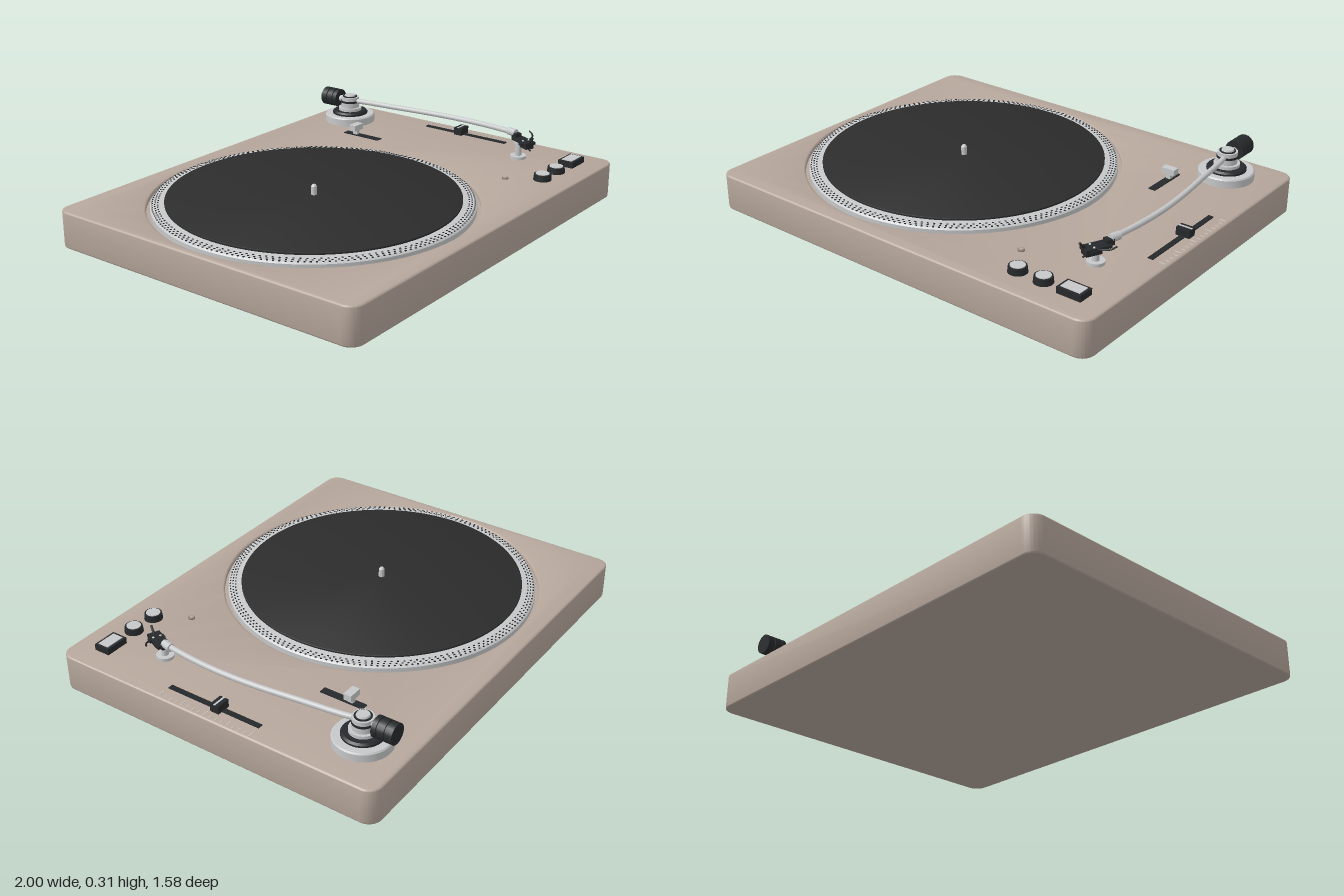
import * as THREE from 'three';
import { mergeGeometries, toCreasedNormals } from 'three/addons/utils/BufferGeometryUtils.js';

const mat = (name, color) => Object.assign(new THREE.MeshStandardMaterial({ color }), { name });

export function createModel() {
  const root = new THREE.Group();
  root.name = 'turntable';
  const body = mat('warm taupe', 0xb5a69b);
  const silver = mat('silver', 0xc6c7c8);
  const rubber = mat('rubber', 0x2c2c2c);
  const black = mat('black', 0x26292b);
  const brown = mat('lamp brown', 0x8f8076);
  const pale = mat('scale marks', 0xcfc6be);
  const TOP = 0.166;

  const add = (name, geo, material, x = 0, y = 0, z = 0, parent = root) => {
    const m = new THREE.Mesh(geo, material);
    m.name = name;
    m.position.set(x, y, z);
    parent.add(m);
    return m;
  };
  const box = (name, material, w, h, d, x, y, z, parent) =>
    add(name, new THREE.BoxGeometry(w, h, d), material, x, y, z, parent);
  // Upright disc given by its bottom and top heights
  const disc = (name, material, r, y0, y1, x, z, rTop = r, seg = 40) =>
    add(name, new THREE.CylinderGeometry(rTop, r, y1 - y0, seg), material, x, (y0 + y1) / 2, z);
  const lathe = (name, material, pts, x, z, seg = 48) =>
    add(name, toCreasedNormals(new THREE.LatheGeometry(pts.map(p => new THREE.Vector2(...p)), seg), 0.5),
      material, x, 0, z);
  // Rod between two points
  const rod = (name, material, r, a, b, parent) => {
    const p = new THREE.Vector3(...a), q = new THREE.Vector3(...b), d = q.clone().sub(p);
    const m = add(name, new THREE.CylinderGeometry(r, r, d.length(), 20), material, 0, 0, 0, parent);
    m.position.copy(p).add(q).multiplyScalar(0.5);
    m.quaternion.setFromUnitVectors(new THREE.Vector3(0, 1, 0), d.normalize());
    return m;
  };

  // Plinth: rounded slab with a round well for the platter
  const W = 1, D = 0.79, R = 0.06, B = 0.008, CX = -0.25;
  const s = new THREE.Shape();
  s.moveTo(-W + R, -D);
  s.lineTo(W - R, -D); s.absarc(W - R, -D + R, R, -Math.PI / 2, 0);
  s.lineTo(W, D - R); s.absarc(W - R, D - R, R, 0, Math.PI / 2);
  s.lineTo(-W + R, D); s.absarc(-W + R, D - R, R, Math.PI / 2, Math.PI);
  s.lineTo(-W, -D + R); s.absarc(-W + R, -D + R, R, Math.PI, Math.PI * 1.5);
  const well = new THREE.Path();
  well.absarc(CX, 0, 0.714, 0, Math.PI * 2, true);
  s.holes.push(well);
  const slab = new THREE.ExtrudeGeometry(s, {
    depth: TOP - 2 * B, bevelThickness: B, bevelSize: B, bevelOffset: -B, bevelSegments: 3, curveSegments: 40
  });
  slab.rotateX(-Math.PI / 2).translate(0, B, 0);
  add('plinth', toCreasedNormals(slab, 0.6), body);
  disc('wellFloor', body, 0.735, 0, 0.148, CX, 0, 0.735, 96);

  // Platter, strobe dots, mat and spindle
  lathe('platter', silver, [[0.698, 0.148], [0.698, 0.17], [0.69, 0.177], [0.645, 0.183], [0, 0.183]], CX, 0, 120);
  const dots = [];
  [[0.688, 180], [0.676, 168], [0.664, 156]].forEach(([r, n]) => {
    for (let i = 0; i < n; i++) {
      dots.push(new THREE.BoxGeometry(0.006, 0.003, 0.008)
        .translate(r, 0.183 - (r - 0.645) * 0.133, 0).rotateY(i / n * Math.PI * 2));
    }
  });
  add('strobeDots', mergeGeometries(dots), black, CX, 0, 0);
  lathe('mat', rubber, [[0.637, 0.18], [0.637, 0.19], [0.633, 0.192], [0, 0.192]], CX, 0, 120);
  lathe('spindle', silver, [[0.013, 0.185], [0.013, 0.23], [0.008, 0.237], [0, 0.237]], CX, 0, 20);

  // Tonearm base and pivot
  const PX = 0.768, PZ = -0.587, AY = 0.27;
  lathe('armBase', silver, [[0.124, TOP], [0.124, 0.2], [0.119, 0.206], [0, 0.206]], PX, PZ);
  lathe('armCollar', black, [[0.088, 0.204], [0.088, 0.214], [0.08, 0.222], [0, 0.222]], PX, PZ);
  disc('pivotFoot', silver, 0.058, 0.22, 0.236, PX, PZ);
  disc('pivotNeck', silver, 0.045, 0.236, 0.262, PX, PZ);
  disc('pivotBand', black, 0.047, 0.262, 0.272, PX, PZ);
  disc('pivotHead', silver, 0.045, 0.272, 0.29, PX, PZ);
  disc('pivotCapRing', black, 0.036, 0.29, 0.294, PX, PZ);
  disc('pivotCap', silver, 0.03, 0.29, 0.301, PX, PZ, 0.026);

  // Counterweight: ribbed drum on a short shaft
  rod('counterweightShaft', silver, 0.015, [PX, AY, PZ], [PX, AY, -0.66]);
  rod('counterweightCore', black, 0.039, [PX, AY, -0.65], [PX, AY, -0.735]);
  [[-0.648, -0.668], [-0.674, -0.704], [-0.71, -0.74]].forEach(([a, b]) =>
    rod('counterweightRing', black, 0.045, [PX, AY, a], [PX, AY, b]));

  // Curved arm tube
  const path = new THREE.CatmullRomCurve3([
    [PX, -0.57], [0.782, -0.5], [0.803, -0.32], [0.826, -0.12], [0.834, 0.05], [0.828, 0.2], [0.812, 0.34]
  ].map(([x, z]) => new THREE.Vector3(x, AY, z)));
  add('armTube', new THREE.TubeGeometry(path, 60, 0.0125, 16), silver);
  rod('armSocket', silver, 0.018, [0.817, AY, 0.325], [0.806, AY, 0.37]);

  // Headshell, cartridge and finger lift
  const head = new THREE.Group();
  head.name = 'headshell';
  head.position.set(0.785, 0.25, 0.415);
  head.rotation.y = -0.43;
  root.add(head);
  box('shellPlate', black, 0.056, 0.012, 0.115, 0, 0, 0.012, head);
  box('shellNeck', black, 0.034, 0.026, 0.035, 0, 0.01, -0.045, head);
  box('cartridge', black, 0.042, 0.02, 0.07, 0, -0.016, 0.03, head);
  box('cartridgeClip', black, 0.07, 0.012, 0.024, 0, -0.006, 0.035, head);
  rod('stylus', black, 0.004, [0, -0.022, 0.04], [0, -0.032, 0.07], head);
  [-1, 1].forEach(k => rod('shellScrew', silver, 0.005, [k * 0.016, 0, 0.03], [k * 0.016, 0.009, 0.03], head));
  const lift = new THREE.CatmullRomCurve3([[0.02, 0, 0.02], [0.05, 0.008, 0.01], [0.068, 0.014, -0.015], [0.07, 0.022, -0.04]]
    .map(p => new THREE.Vector3(...p)));
  add('fingerLift', new THREE.TubeGeometry(lift, 16, 0.004, 8), black, 0, 0, 0, head);
  rod('frontTab', black, 0.005, [0, 0.004, 0.06], [0, 0.032, 0.085], head);

  // Arm rest
  disc('restFoot', silver, 0.038, TOP, 0.18, 0.768, 0.408);
  disc('restPost', silver, 0.015, 0.18, 0.244, 0.768, 0.408);
  box('restCradle', silver, 0.045, 0.01, 0.03, 0.775, 0.238, 0.405);

  // Cue lever in its slot
  box('cueSlot', black, 0.034, 0.006, 0.205, 0.587, TOP + 0.001, -0.37);
  box('cueStem', silver, 0.02, 0.03, 0.024, 0.587, 0.18, -0.41);
  box('cueLever', silver, 0.064, 0.028, 0.036, 0.587, 0.206, -0.41);

  // Pitch fader with its scale
  box('pitchSlot', black, 0.024, 0.006, 0.46, 0.917, TOP + 0.001, 0.02);
  box('pitchKnob', black, 0.064, 0.036, 0.042, 0.917, 0.184, -0.006);
  box('pitchKnobLine', silver, 0.064, 0.003, 0.008, 0.917, 0.203, -0.006);
  for (let i = 0; i <= 16; i++) {
    const w = i % 4 ? 0.018 : 0.032;
    box('pitchMark', pale, w, 0.003, 0.004, 0.988 - w / 2, TOP + 0.0005, -0.21 + i * 0.02875);
  }

  // Round buttons, rectangular start button and lamp
  [0.574, 0.698].forEach(x => {
    disc('buttonBody', black, 0.041, TOP, 0.194, x, 0.648, 0.038);
    disc('buttonCap', silver, 0.031, 0.19, 0.197, x, 0.648);
  });
  box('startButtonBody', black, 0.112, 0.028, 0.074, 0.84, 0.18, 0.648);
  box('startButtonCap', silver, 0.09, 0.006, 0.052, 0.84, 0.194, 0.648);
  disc('lampRim', brown, 0.015, TOP, 0.172, 0.482, 0.51, 0.015, 24);
  disc('lampLens', body, 0.01, TOP, 0.175, 0.482, 0.51, 0.009, 24);

  return root;
}
